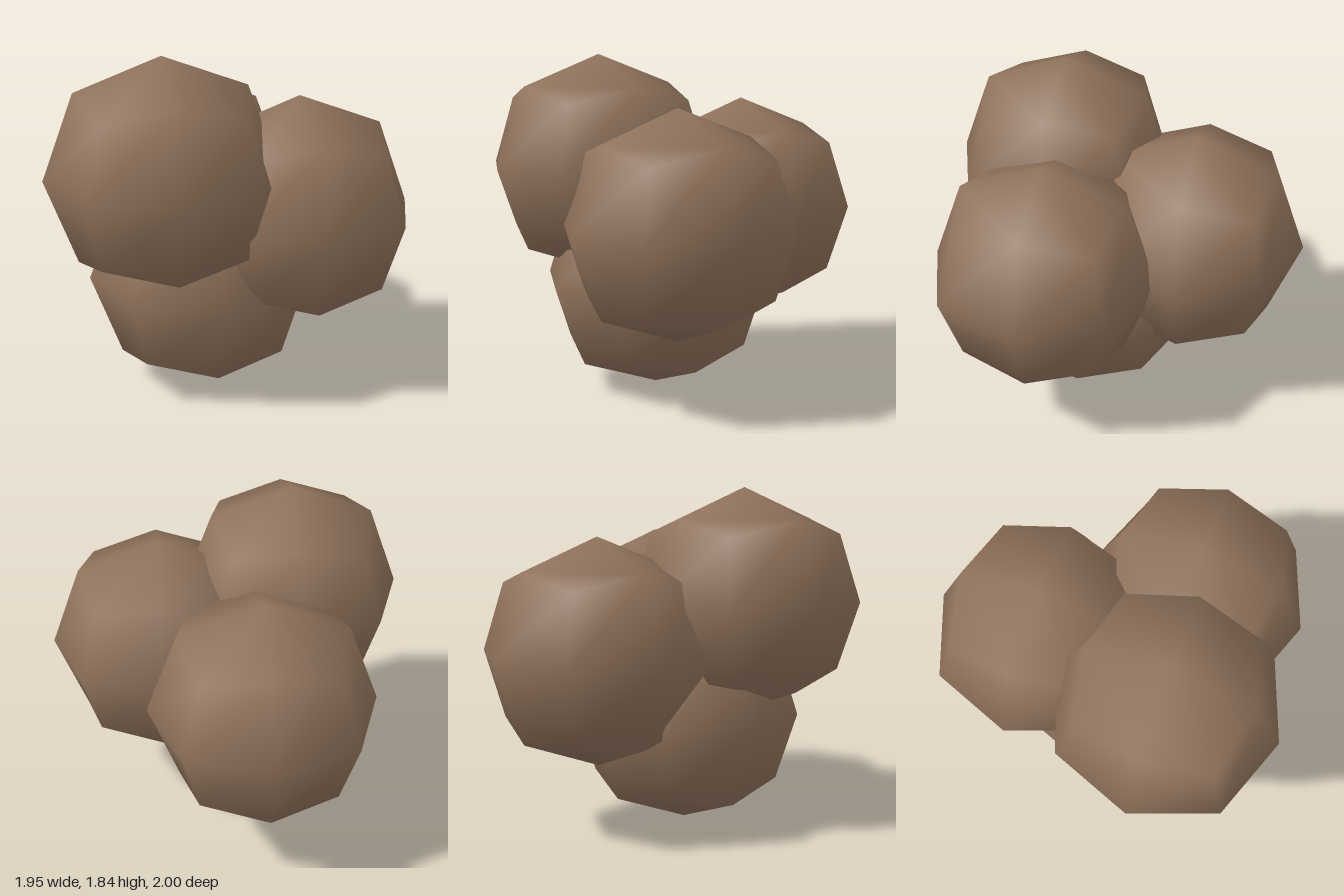
import * as THREE from 'three';
import { mergeVertices } from 'three/addons/utils/BufferGeometryUtils.js';

// Low-poly ball: a 2x2x2 box pushed out to a 24-sided kite solid, shaded smooth
function ballGeometry() {
  const box = new THREE.BoxGeometry(2, 2, 2, 2, 2, 2);
  box.deleteAttribute('normal');
  box.deleteAttribute('uv');
  const geometry = mergeVertices(box);
  geometry.clearGroups();
  const p = geometry.attributes.position;
  const v = new THREE.Vector3();
  // Radius of face centres, edge middles and corners
  const radii = [0, 0.608, 0.626, 0.627];
  for (let i = 0; i < p.count; i++) {
    v.fromBufferAttribute(p, i).round();
    const kind = Math.abs(v.x) + Math.abs(v.y) + Math.abs(v.z);
    v.setLength(radii[kind]);
    p.setXYZ(i, v.x, v.y, v.z);
  }
  geometry.computeVertexNormals();
  return geometry;
}

export function createModel() {
  const group = new THREE.Group();
  group.name = 'ballCluster';
  const brown = new THREE.MeshStandardMaterial({ color: 0x8f725b });
  brown.name = 'earthBrown';
  const geometry = ballGeometry();

  // Four overlapping balls
  const balls = [
    ['bottomBall', -0.13, 0.608, 0.175],
    ['upperFrontBall', -0.37, 1.232, 0.39],
    ['sideBall', 0.367, 0.98, 0.315],
    ['backBall', -0.13, 0.98, -0.392],
  ];
  for (const [name, x, y, z] of balls) {
    const ball = new THREE.Mesh(geometry, brown);
    ball.name = name;
    ball.position.set(x, y, z);
    group.add(ball);
  }
  return group;
}
